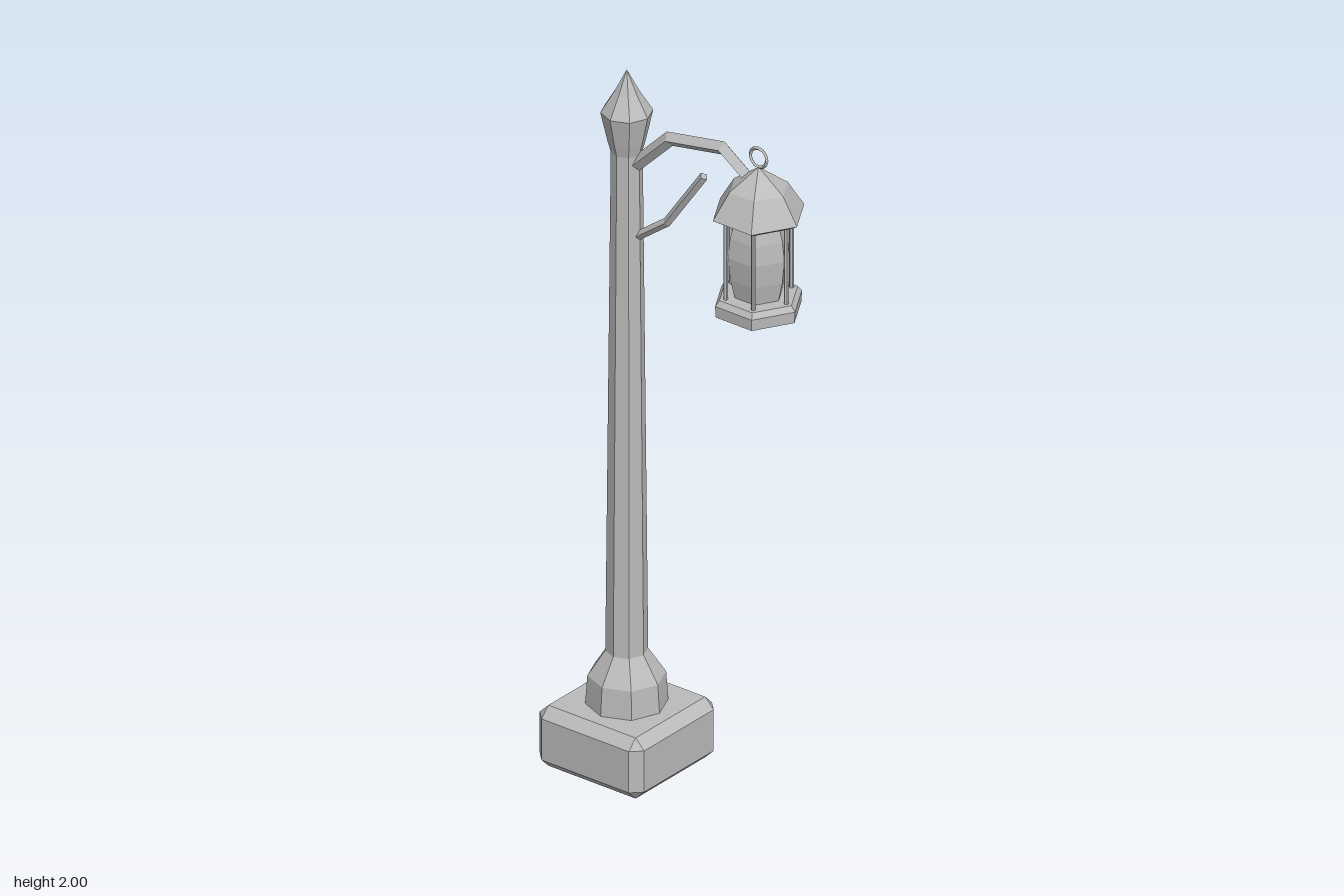
import * as THREE from 'three';
import { ConvexGeometry } from 'three/addons/geometries/ConvexGeometry.js';

const POST_X = -0.193;
const LAMP_X = 0.236;

// Faceted turned shape from [radius, y] pairs, bottom to top
function turned(profile, sides, start = 0) {
  const pts = profile.map(([r, y]) => new THREE.Vector2(r, y));
  return new THREE.LatheGeometry(pts, sides, start);
}

// Box with one flat bevel on every edge and corner
function bevelBox(w, h, d, b) {
  const pts = [];
  for (const sx of [-1, 1]) for (const sy of [-1, 1]) for (const sz of [-1, 1]) {
    for (let axis = 0; axis < 3; axis++) {
      const p = [w / 2, h / 2, d / 2].map((v, i) => (i === axis ? v : v - b));
      pts.push(new THREE.Vector3(p[0] * sx, p[1] * sy, p[2] * sz));
    }
  }
  return new ConvexGeometry(pts);
}

// Mitred square bar along an [x, y] path, with an edge facing up
function bentBar(path, r) {
  const pts = path.map(([x, y]) => new THREE.Vector2(x, y));
  const last = pts.length - 1;
  const pos = [];
  const index = [];
  pts.forEach((p, i) => {
    const before = pts[i].clone().sub(pts[Math.max(i - 1, 0)]).normalize();
    const after = pts[Math.min(i + 1, last)].clone().sub(pts[i]).normalize();
    const t = before.clone().add(after).normalize();
    const mitre = 1 / t.dot(i < last ? after : before);
    for (let k = 0; k < 4; k++) {
      const a = (k * Math.PI) / 2;
      const n = Math.cos(a) * r * mitre;
      pos.push(p.x - t.y * n, p.y + t.x * n, Math.sin(a) * r);
    }
  });
  for (let i = 0; i < last; i++) {
    for (let k = 0; k < 4; k++) {
      const a = i * 4 + k, b = i * 4 + ((k + 1) % 4);
      index.push(a, b, b + 4, a, b + 4, a + 4);
    }
  }
  const e = last * 4;
  index.push(0, 2, 1, 0, 3, 2, e, e + 1, e + 2, e, e + 2, e + 3);
  const geo = new THREE.BufferGeometry();
  geo.setAttribute('position', new THREE.Float32BufferAttribute(pos, 3));
  geo.setIndex(index);
  geo.computeVertexNormals();
  return geo;
}

export function createModel() {
  const model = new THREE.Group();
  model.name = 'streetLamp';
  const grey = new THREE.MeshStandardMaterial({ color: 0xbbbbbb, flatShading: true });
  grey.name = 'plain grey';

  const add = (name, geo, x = 0, y = 0, z = 0, parent = model) => {
    const mesh = new THREE.Mesh(geo, grey);
    mesh.name = name;
    mesh.position.set(x, y, z);
    parent.add(mesh);
    return mesh;
  };

  // Foot block
  add('footBlock', bevelBox(0.34, 0.175, 0.34, 0.028), POST_X, 0.0875, 0);

  // Post with flared foot, bulged cap and pointed tip
  add('post', turned([
    [0, 0.17], [0.107, 0.17], [0.101, 0.255], [0.055, 0.325], [0.041, 1.765],
    [0.049, 1.795], [0.068, 1.88], [0.034, 1.935], [0, 2],
  ], 8), POST_X);

  // Arm and brace
  add('arm', bentBar([[-0.175, 1.725], [-0.053, 1.847], [0.12, 1.878], [0.21, 1.815]], 0.019));
  add('brace', bentBar([[-0.175, 1.518], [-0.062, 1.603], [0.058, 1.775]], 0.012));

  // Hanging lantern, six-sided
  const lantern = new THREE.Group();
  lantern.name = 'lantern';
  lantern.position.x = LAMP_X;
  model.add(lantern);
  const hex = (name, profile) => add(name, turned(profile, 6, Math.PI / 2), 0, 0, 0, lantern);

  hex('lanternRoof', [[0, 1.715], [0.1, 1.715], [0.125, 1.73], [0.08, 1.803], [0, 1.862]]);
  hex('lanternGlass', [[0.064, 1.49], [0.077, 1.55], [0.084, 1.615], [0.078, 1.67], [0.064, 1.72]]);
  hex('lanternTray', [[0, 1.45], [0.117, 1.45], [0.119, 1.482], [0.107, 1.497], [0, 1.497]]);

  // Thin corner rods
  for (let i = 0; i < 6; i++) {
    const a = (i * Math.PI) / 3;
    const rod = new THREE.CylinderGeometry(0.006, 0.006, 0.23, 6);
    add('lanternRod', rod, 0.09 * Math.cos(a), 1.605, 0.09 * Math.sin(a), lantern);
  }

  // Hanging ring
  add('hangingRing', new THREE.TorusGeometry(0.027, 0.005, 4, 12), 0, 1.889, 0, lantern);

  return model;
}
